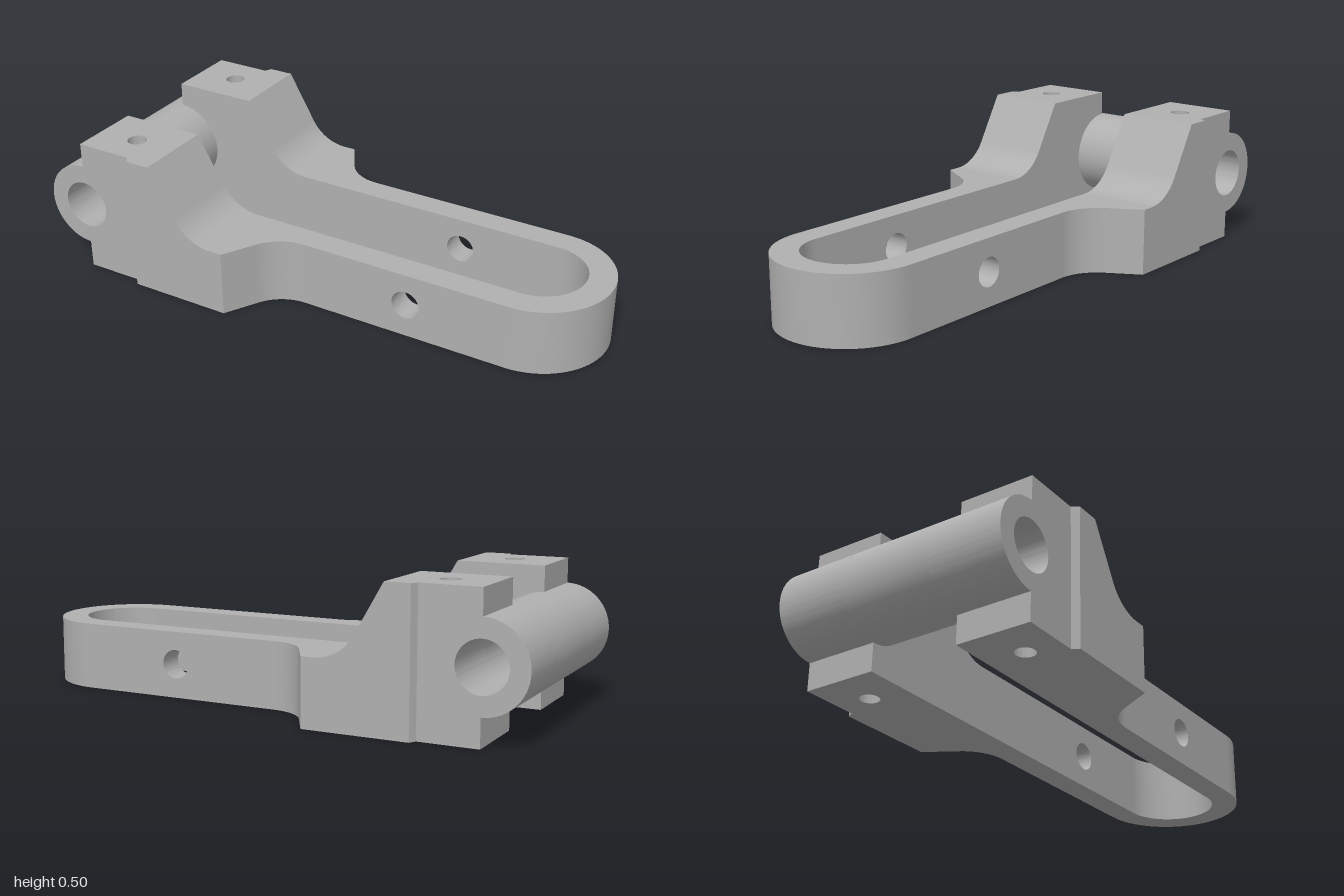
import * as THREE from 'three';
import { toCreasedNormals } from 'three/addons/utils/BufferGeometryUtils.js';

const INNER = 0.165, CHEEK = 0.435, SHOULDER = 0.46, ARM = 0.26; // half widths in z
const TOP = 0.5, ARM_TOP = 0.24;                                 // heights
const PIN = { x: -0.845, y: 0.255, r: 0.155, bore: 0.088 };

const polygon = (points) => new THREE.Shape(points.map(([x, y]) => new THREE.Vector2(x, y)));

function drill(shape, x, y, r) {
  shape.holes.push(new THREE.Path().absarc(x, y, r, 0, Math.PI * 2, true));
  return shape;
}

// Solid under a 60 degree slope that blends into a level run through a fillet
function slopeShape(x0, high, low, x1, base) {
  const r = 0.165;
  const foot = x0 + (high - low) / Math.sqrt(3);
  const s = new THREE.Shape();
  s.moveTo(x0, base);
  s.lineTo(x0, high);
  s.absarc(foot + r / Math.sqrt(3), low + r, r, Math.PI * 7 / 6, Math.PI * 3 / 2, false);
  s.lineTo(x1, low);
  s.lineTo(x1, base);
  s.closePath();
  return s;
}

const extrude = (shape, depth) => toCreasedNormals(
  new THREE.ExtrudeGeometry(shape, { depth, bevelEnabled: false, curveSegments: 32 }), 0.5);

// Side profile (x, y) spanning z0 to z1
const acrossZ = (shape, z0, z1) => extrude(shape, z1 - z0).translate(0, 0, z0);

// Plan outline (x, distance from centre line) standing on the floor, on either side
const upright = (shape, height, side) => side > 0
  ? extrude(shape, height).rotateX(Math.PI / 2).translate(0, height, 0)
  : extrude(shape, height).rotateX(-Math.PI / 2);

export function createModel() {
  const metal = new THREE.MeshStandardMaterial({ color: 0xb0b0b0 });
  metal.name = 'grey metal';
  const model = new THREE.Group();
  model.name = 'clevisArm';
  const add = (name, geometry) => {
    const mesh = new THREE.Mesh(geometry, metal);
    mesh.name = name;
    model.add(mesh);
  };

  // Hinge barrel between the two cheeks
  const ring = new THREE.Shape().absarc(PIN.x, PIN.y, PIN.r, 0, Math.PI * 2, false);
  add('hingeBarrel', acrossZ(drill(ring, PIN.x, PIN.y, PIN.bore), -INNER, INNER));

  // Cheek end with the half-round knuckle
  const joint = -0.75;
  const knuckle = new THREE.Shape();
  knuckle.moveTo(joint, 0);
  knuckle.lineTo(joint, TOP);
  knuckle.lineTo(PIN.x, TOP);
  knuckle.absarc(PIN.x, PIN.y, PIN.r, Math.PI / 2, Math.PI * 3 / 2, false);
  knuckle.lineTo(PIN.x, 0);
  knuckle.closePath();
  drill(knuckle, PIN.x, PIN.y, PIN.bore);

  // Cheek block with the small outward step and the vertical screw hole
  const block = drill(polygon([
    [joint, INNER], [-0.53, INNER], [-0.53, SHOULDER], [-0.62, SHOULDER],
    [-0.634, CHEEK], [joint, CHEEK],
  ]), -0.69, 0.308, 0.035);

  // Sloping shoulder, flared neck and straight arm wall with its cross hole
  const shoulder = slopeShape(-0.53, TOP, ARM_TOP, -0.24, 0);
  const neck = slopeShape(-0.24, SHOULDER, ARM, 0, INNER);
  const wall = drill(polygon([[0, 0], [0.74, 0], [0.74, ARM_TOP], [0, ARM_TOP]]), 0.37, 0.122, 0.052);

  for (const [label, side] of [['left', -1], ['right', 1]]) {
    const span = (shape, a, b) => side > 0 ? acrossZ(shape, a, b) : acrossZ(shape, -b, -a);
    add(label + 'Knuckle', span(knuckle, INNER, CHEEK));
    add(label + 'CheekBlock', upright(block, TOP, side));
    add(label + 'Shoulder', span(shoulder, INNER, SHOULDER));
    add(label + 'Neck', upright(neck, ARM_TOP, side));
    add(label + 'ArmWall', span(wall, INNER, ARM));
  }

  // Rounded end closing the slot
  const end = new THREE.Shape();
  end.absarc(0.74, 0, ARM, -Math.PI / 2, Math.PI / 2, false);
  end.absarc(0.74, 0, INNER, Math.PI / 2, -Math.PI / 2, true);
  end.closePath();
  add('roundedEnd', upright(end, ARM_TOP, 1));

  return model;
}
